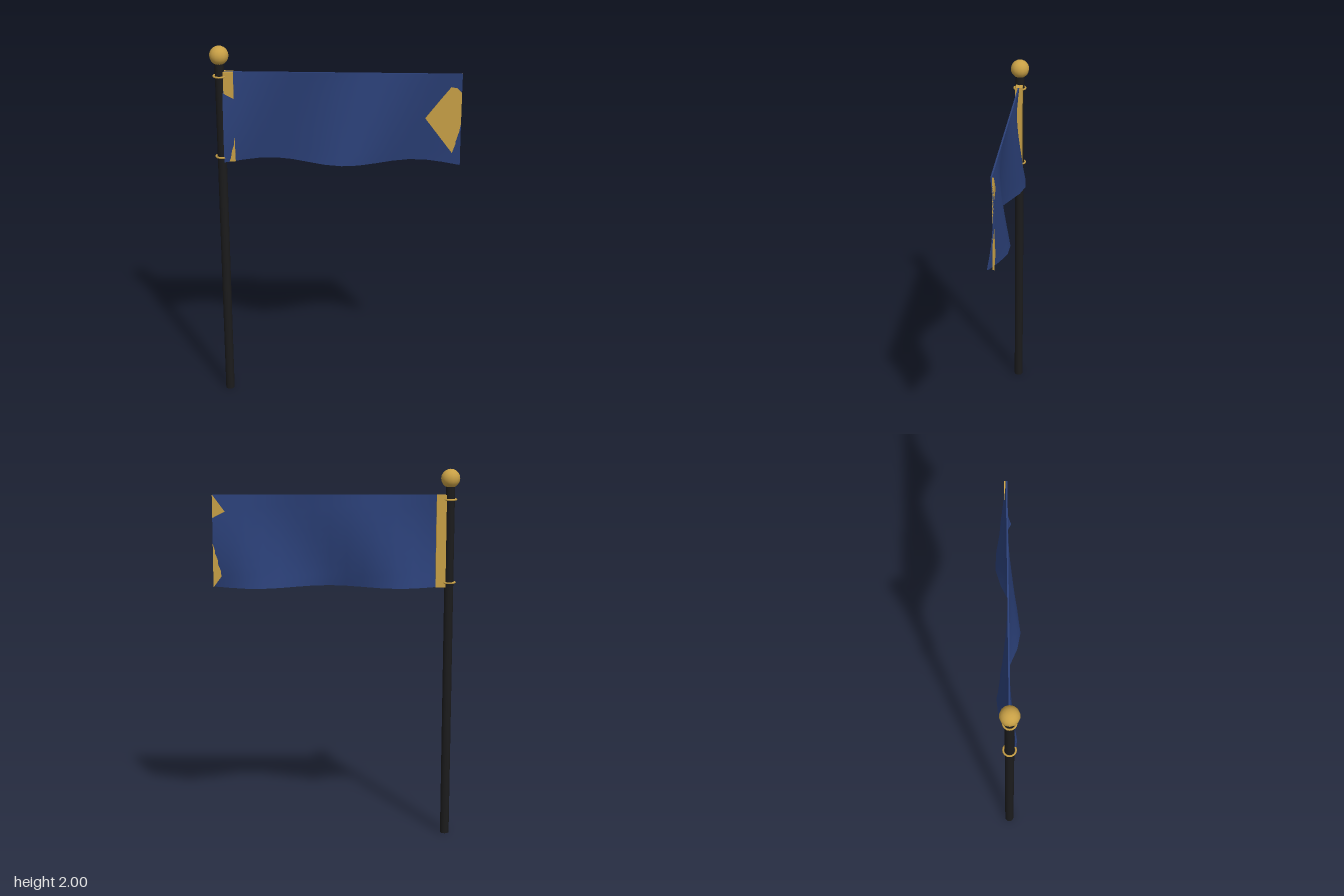
import * as THREE from 'three';

const POLE_X = -0.604, TOP = 1.865, BOTTOM = 1.375, LEFT = -0.59, RIGHT = 0.645;
const HEIGHT = TOP - BOTTOM, MID = (TOP + BOTTOM) / 2;

// Slanted ripple, still at the top edge and widest at the bottom
function ripple(x, y) {
  const drop = (TOP - y) / HEIGHT;
  const start = -0.535 + 0.33 * (y - BOTTOM);
  return -0.06 * drop * Math.sin((2 * Math.PI * (x - start)) / 0.76);
}

function material(name, color) {
  const m = new THREE.MeshStandardMaterial({ color });
  m.name = name;
  return m;
}

export function createModel() {
  const model = new THREE.Group();
  model.name = 'flagOnPole';
  const black = material('poleBlack', 0x1b1b1c);
  const gold = material('gold', 0xc8a046);
  const blue = material('flagBlue', 0x2b4078);

  const add = (name, geometry, mat, x, y, z = 0) => {
    const mesh = new THREE.Mesh(geometry, mat);
    mesh.name = name;
    mesh.position.set(x, y, z);
    model.add(mesh);
    return mesh;
  };

  // Pole and ball on top
  add('pole', new THREE.CylinderGeometry(0.024, 0.024, 1.92, 16), black, POLE_X, 0.96);
  add('finial', new THREE.SphereGeometry(0.05, 14, 10), gold, POLE_X, 1.95);

  // Rings holding the cloth
  for (const [name, y] of [['upperRing', 1.84], ['lowerRing', 1.4]]) {
    add(name, new THREE.TorusGeometry(0.032, 0.005, 6, 16), gold, POLE_X, y).rotation.x = Math.PI / 2;
  }

  // Rippling cloth
  const cloth = new THREE.BoxGeometry(RIGHT - LEFT, HEIGHT, 0.008, 14, 8, 1);
  cloth.translate((LEFT + RIGHT) / 2, MID, 0);
  const p = cloth.attributes.position;
  for (let i = 0; i < p.count; i++) {
    p.setZ(i, p.getZ(i) + ripple(p.getX(i), p.getY(i)));
  }
  cloth.computeVertexNormals();
  add('flagCloth', cloth, blue, 0, 0);

  // Stiff band beside the pole
  add('hoistBand', new THREE.BoxGeometry(0.052, HEIGHT, 0.036), gold, -0.559, MID);

  // Flat triangle at the free end
  const triangle = new THREE.Shape([
    new THREE.Vector2(RIGHT, BOTTOM),
    new THREE.Vector2(RIGHT, TOP),
    new THREE.Vector2(0.46, MID),
  ]);
  add('flyTriangle', new THREE.ExtrudeGeometry(triangle, { depth: 0.009, bevelEnabled: false }),
    gold, 0, 0, -0.0132);

  model.position.z = -0.004;
  return model;
}
